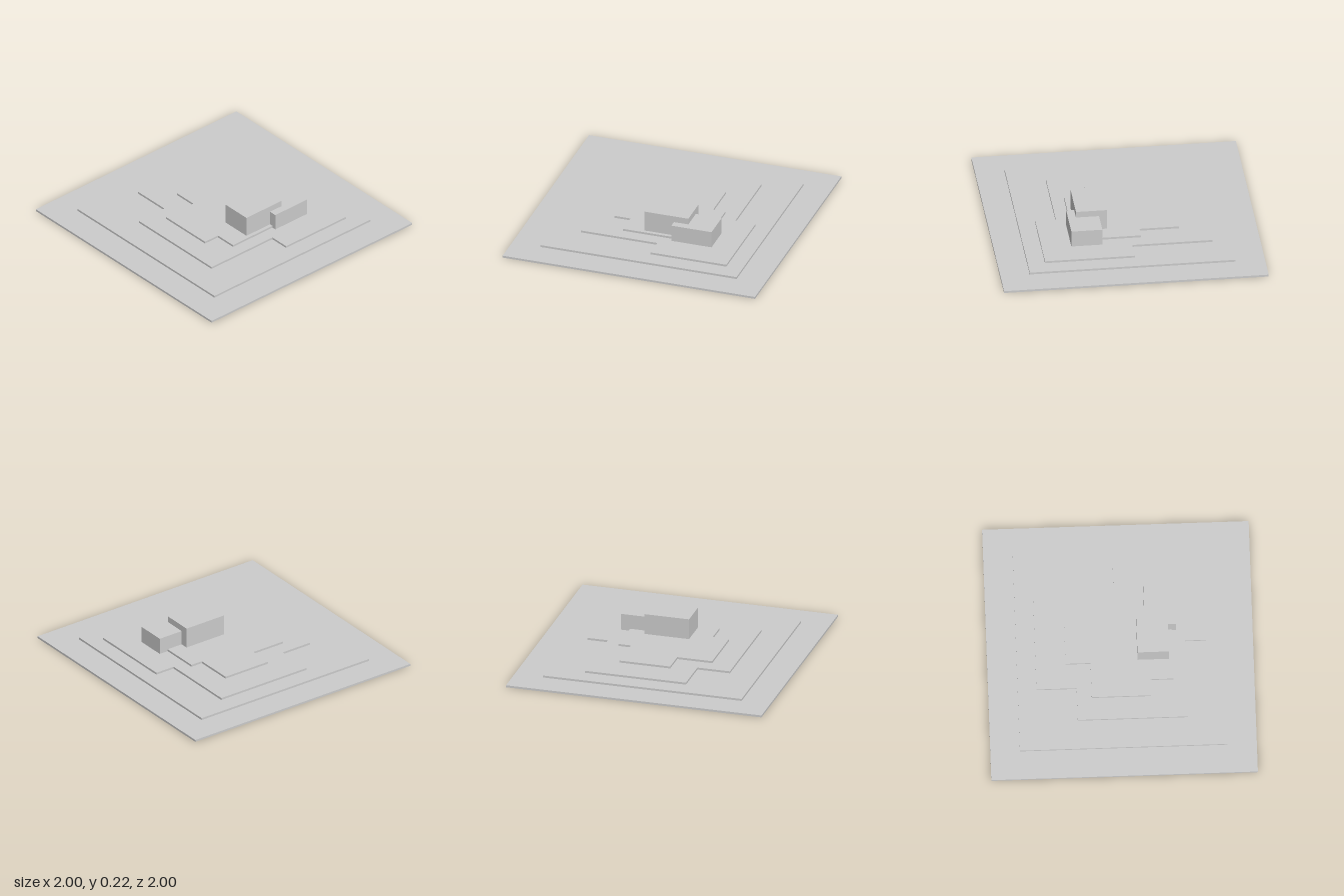
import * as THREE from 'three';

const STEP = 0.016; // thickness of each terrace

export function createModel() {
  const group = new THREE.Group();
  const material = new THREE.MeshStandardMaterial({ color: 0xcccccc, flatShading: true });

  const add = (name, geometry) => {
    const mesh = new THREE.Mesh(geometry, material);
    mesh.name = name;
    group.add(mesh);
  };

  // Flat slab from a plan outline of [x, z] corners, stacked by level
  const terrace = (name, level, outline) => {
    const shape = new THREE.Shape(outline.map(([x, z]) => new THREE.Vector2(x, -z)));
    const geometry = new THREE.ExtrudeGeometry(shape, { depth: STEP, bevelEnabled: false });
    geometry.rotateX(-Math.PI / 2).translate(0, level * STEP, 0);
    add(name, geometry);
  };

  // Box between two plan corners and two heights
  const block = (name, [x0, x1], [y0, y1], [z0, z1]) => {
    const geometry = new THREE.BoxGeometry(x1 - x0, y1 - y0, z1 - z0);
    geometry.translate((x0 + x1) / 2, (y0 + y1) / 2, (z0 + z1) / 2);
    add(name, geometry);
  };

  const square = (h) => [[-h, -h], [h, -h], [h, h], [-h, h]];

  // Square base and first step
  terrace('baseSlab', 0, square(1));
  terrace('lowerTerrace', 1, square(0.778));

  // Stepped-outline terraces
  terrace('middleTerrace', 2, [
    [-0.637, -0.492], [-0.032, -0.492], [-0.032, -0.652], [0.647, -0.652], [0.647, -0.052],
    [0.491, -0.052], [0.491, 0.554], [-0.336, 0.554], [-0.336, 0.3], [-0.637, 0.3],
  ]);
  terrace('upperTerrace', 3, [
    [-0.412, -0.288], [-0.112, -0.288], [-0.112, -0.385], [0.392, -0.385], [0.392, 0.254],
    [0.22, 0.254], [0.22, 0.382], [-0.225, 0.382], [-0.225, 0.109], [-0.412, 0.109],
  ]);

  // Two overlapping building blocks
  block('tallBlock', [0.128, 0.364], [3 * STEP, 0.225], [-0.254, 0.095]);
  block('rearBlock', [0.19, 0.424], [3 * STEP, 0.177], [-0.458, -0.14]);

  return group;
}
